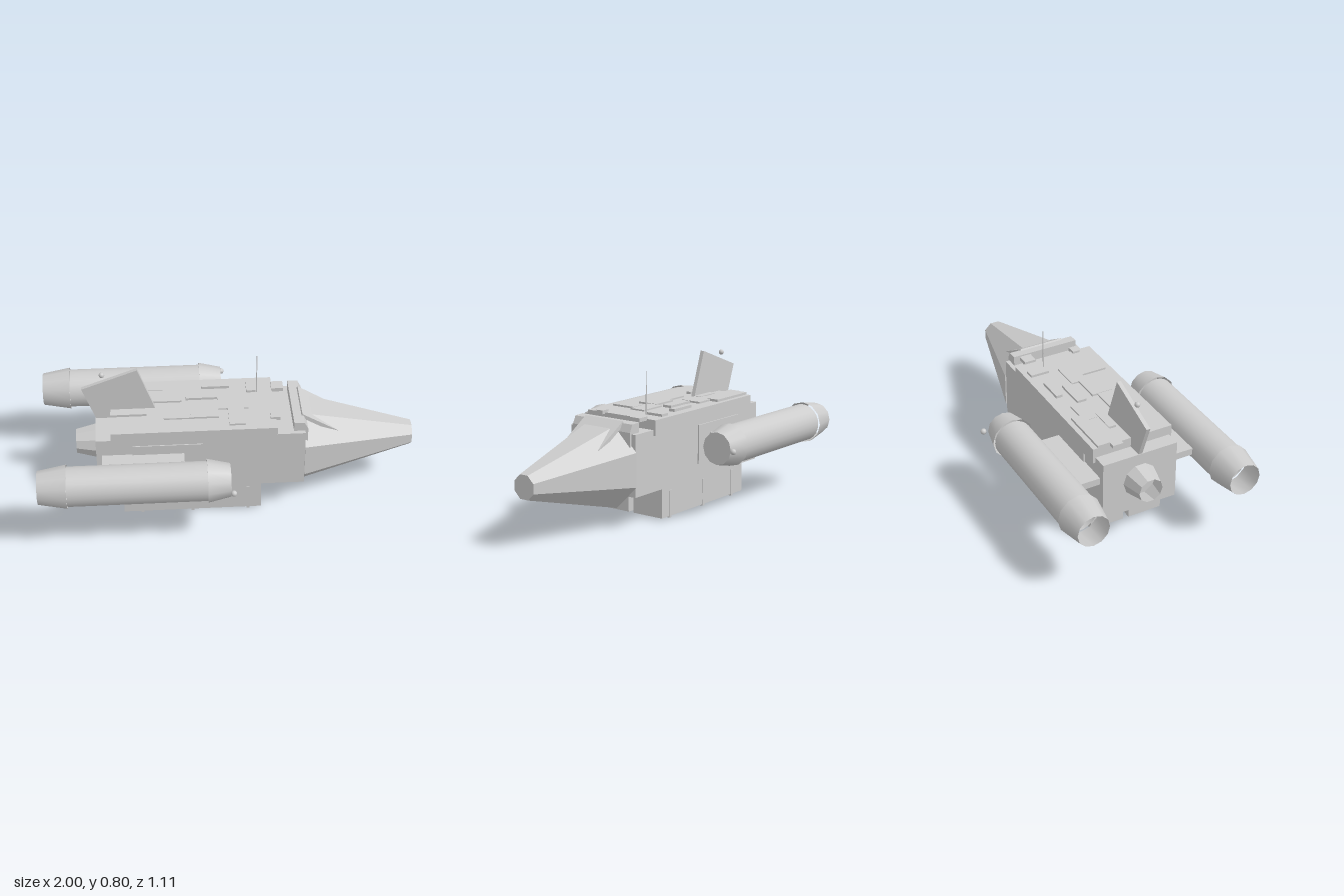
import * as THREE from 'three';

const grey = new THREE.MeshStandardMaterial({ color: 0xcccccc, side: THREE.DoubleSide });
grey.name = 'hull grey';

function add(parent, name, geometry) {
  const mesh = new THREE.Mesh(geometry, grey);
  mesh.name = name;
  parent.add(mesh);
  return mesh;
}

// Box given by its limits on each axis
function box(parent, name, x0, x1, y0, y1, z0, z1) {
  const g = new THREE.BoxGeometry(x1 - x0, y1 - y0, z1 - z0);
  g.translate((x0 + x1) / 2, (y0 + y1) / 2, (z0 + z1) / 2);
  return add(parent, name, g);
}

// Tapered tube along x, from x0 (radius r0) to x1 (radius r1)
function tube(x0, x1, r0, r1, y, z, sides, open = true, start = 0) {
  const g = new THREE.CylinderGeometry(r1, r0, x1 - x0, sides, 1, open, start);
  g.rotateZ(-Math.PI / 2);
  return g.translate((x0 + x1) / 2, y, z);
}

function faceted(geometry) {
  const g = geometry.toNonIndexed();
  g.computeVertexNormals();
  return g;
}

// Side profile in x and y, given a thickness across z
function profile(points, halfWidth) {
  const shape = new THREE.Shape(points.map(p => new THREE.Vector2(...p)));
  const g = new THREE.ExtrudeGeometry(shape, { depth: halfWidth * 2, bevelEnabled: false });
  return g.translate(0, 0, -halfWidth);
}

export function createModel() {
  const ship = new THREE.Group();
  ship.name = 'spaceship';

  // Hull and upper deck
  box(ship, 'hull', -0.7, 0.4, 0.17, 0.5, -0.213, 0.213);
  box(ship, 'upperDeck', -0.62, 0.25, 0.47, 0.553, -0.227, 0.227);

  // Eight-sided nose
  add(ship, 'nose', faceted(tube(0.4, 1, 0.238, 0.067, 0.317, 0, 8, false, Math.PI / 8)));
  ship.getObjectByName('nose').geometry.name = 'noseCone';

  // Cockpit block and its sloping forked visor
  add(ship, 'cockpitBlock', profile(
    [[0.34, 0.42], [0.415, 0.42], [0.415, 0.51], [0.395, 0.55], [0.34, 0.553]], 0.19));
  const fork = new THREE.Shape([
    [0, -0.125], [0.23, -0.122], [0.23, -0.1], [0.12, -0.08], [0.09, -0.065],
    [0.09, 0.065], [0.12, 0.08], [0.23, 0.1], [0.23, 0.122], [0, 0.125],
  ].map(p => new THREE.Vector2(...p)));
  const visor = add(ship, 'visor', new THREE.ExtrudeGeometry(fork, { depth: 0.022, bevelEnabled: false })
    .rotateX(-Math.PI / 2));
  visor.rotation.z = -0.55;
  visor.position.set(0.378, 0.54, 0);

  // Raised plates scattered on the deck: x0, x1, z0, z1, top
  const plates = [
    [-0.62, -0.34, -0.2, -0.13, 0.566], [-0.65, -0.39, -0.13, -0.07, 0.561],
    [-0.39, -0.24, -0.15, -0.03, 0.563], [-0.62, -0.43, 0.05, 0.08, 0.566],
    [-0.34, -0.2, 0.03, 0.12, 0.561], [-0.22, -0.05, -0.1, -0.045, 0.566],
    [-0.2, -0.05, 0.0, 0.12, 0.563], [-0.13, 0.02, -0.175, -0.14, 0.568],
    [-0.05, 0.11, -0.04, 0.05, 0.561], [0.11, 0.16, -0.2, -0.095, 0.566],
    [0.0, 0.085, 0.05, 0.19, 0.563], [0.245, 0.31, -0.17, -0.105, 0.566],
    [0.22, 0.27, 0.11, 0.15, 0.565], [-0.5, -0.36, -0.07, -0.03, 0.565],
  ];
  for (const [x0, x1, z0, z1, top] of plates) box(ship, 'deckPlate', x0, x1, 0.545, top, z0, z1);

  // Tail fin with lamp, and whip aerial
  add(ship, 'tailFin', profile([[-0.765, 0.69], [-0.69, 0.48], [-0.358, 0.48], [-0.47, 0.8]], 0.011));
  add(ship, 'finLamp', new THREE.SphereGeometry(0.015, 10, 8).translate(-0.655, 0.77, 0));
  add(ship, 'aerial', new THREE.CylinderGeometry(0.002, 0.004, 0.24, 6).translate(0.165, 0.665, -0.1));

  // Rear exhaust
  add(ship, 'rearExhaust', faceted(tube(-0.81, -0.7, 0.067, 0.095, 0.345, 0, 10)));

  for (const s of [1, -1]) {
    const side = new THREE.Group();
    side.name = s > 0 ? 'frontSide' : 'backSide';
    ship.add(side);
    const mirrored = (name, x0, x1, y0, y1, a, b) =>
      box(side, name, x0, x1, y0, y1, Math.min(a * s, b * s), Math.max(a * s, b * s));

    // Engine nacelle: body, two flared collars, front cap, open rear
    const z = 0.43 * s, y = 0.385;
    add(side, 'nacelleBody', tube(-0.85, -0.13, 0.104, 0.104, y, z, 24));
    add(side, 'nacelleFront', tube(-0.13, -0.01, 0.115, 0.088, y, z, 12));
    add(side, 'nacelleNozzle', tube(-1, -0.85, 0.088, 0.115, y, z, 12));
    add(side, 'nacelleCap', new THREE.CircleGeometry(0.088, 12).rotateY(Math.PI / 2).translate(-0.01, y, z));
    add(side, 'nacelleLamp', new THREE.SphereGeometry(0.016, 10, 8).translate(0, y, 0.54 * s));
    mirrored('pylon', -0.67, -0.24, 0.367, 0.405, 0.2, 0.345);

    // Side panel and lower cargo pod with narrow ribs
    mirrored('sidePanel', -0.51, -0.14, 0.245, 0.46, 0.21, 0.22);
    mirrored('cargoPod', -0.57, 0.17, 0.008, 0.18, 0.016, 0.208);
    for (const x of [-0.47, -0.2, 0.1]) mirrored('podRib', x - 0.008, x + 0.008, 0, 0.15, 0.014, 0.211);
  }
  return ship;
}
